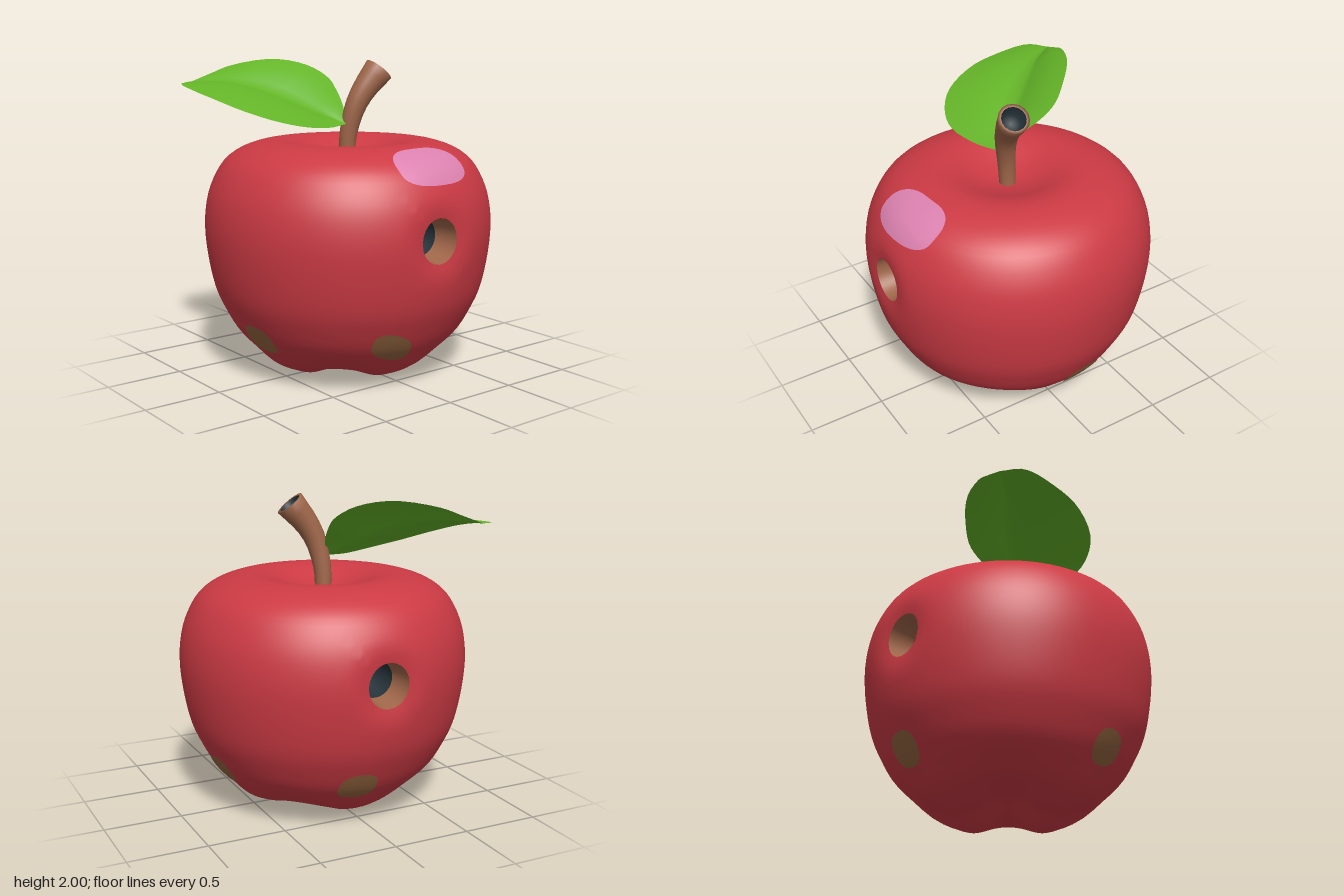
import * as THREE from 'three';
import { mergeVertices } from 'three/addons/utils/BufferGeometryUtils.js';

const V2 = (x, y) => new THREE.Vector2(x, y);
const V3 = (x, y, z) => new THREE.Vector3(x, y, z);
const mat = (name, color, side = THREE.FrontSide) => {
  const m = new THREE.MeshStandardMaterial({ color, side });
  m.name = name;
  return m;
};

// Grid surface from f(i, j); skip(i, j) leaves cells open
function sheet(nu, nv, f, skip = () => false) {
  const pos = [], idx = [];
  for (let j = 0; j <= nv; j++)
    for (let i = 0; i <= nu; i++) pos.push(...f(i, j).toArray());
  for (let j = 0; j < nv; j++)
    for (let i = 0; i < nu; i++) {
      if (skip(i, j)) continue;
      const a = j * (nu + 1) + i, b = a + 1, c = a + nu + 1, d = c + 1;
      idx.push(a, b, d, a, d, c);
    }
  const g = new THREE.BufferGeometry();
  g.setAttribute('position', new THREE.Float32BufferAttribute(pos, 3));
  g.setIndex(idx);
  const merged = mergeVertices(g);
  merged.computeVertexNormals();
  return merged;
}

// Apple outline (radius, height) from bottom dimple to top dip
const profile = new THREE.SplineCurve([
  [0, 0.17], [0.08, 0.15], [0.18, 0.07], [0.27, 0.015], [0.34, 0], [0.43, 0.03], [0.55, 0.09],
  [0.64, 0.18], [0.73, 0.28], [0.8, 0.4], [0.867, 0.55], [0.91, 0.75], [0.928, 0.95],
  [0.912, 1.12], [0.87, 1.25], [0.8, 1.365], [0.7, 1.44], [0.57, 1.485], [0.45, 1.497],
  [0.34, 1.475], [0.2, 1.42], [0.07, 1.385], [0, 1.38],
].map(([r, y]) => V2(r, y)));
profile.arcLengthDivisions = 800;

const HOLE_Y = 0.965, HOLE_R = 0.14, WAIST = 0.92;

// Profile position of a height on the outer side
function sOfY(y) {
  let lo = 0.15, hi = 0.83;
  for (let k = 0; k < 24; k++) {
    const m = (lo + hi) / 2;
    if (profile.getPointAt(m).y < y) lo = m; else hi = m;
  }
  return (lo + hi) / 2;
}

// Skin point: four lobes underneath, shallow dishes around the two holes
function skin(theta, s, offset = 0) {
  const p = profile.getPointAt(s), t = profile.getTangentAt(s);
  let r = p.x + t.y * offset, y = p.y - t.x * offset;
  if (p.y < 0.4) {
    const w = (1 - p.y / 0.4) ** 2 * Math.min(1, p.x / 0.25);
    y += 0.07 * w * (0.5 - 0.5 * Math.cos(4 * theta));
  }
  for (const h of [0, Math.PI]) {
    const turn = Math.atan2(Math.sin(theta - h), Math.cos(theta - h));
    const d = Math.hypot(turn * WAIST, p.y - HOLE_Y);
    if (d < 0.3) r -= 0.1 * (1 - d / 0.3) ** 2;
  }
  return V3(r * Math.sin(theta), y, r * Math.cos(theta));
}

// Body grid, with square rings of cells rounded into circular holes
function bodyGeometry() {
  const NU = 128, NV = 64, K = 3, OUT = 7, cols = [NU / 4, (3 * NU) / 4];
  const j0 = Math.round(sOfY(HOLE_Y) * NV);
  const angle = i => -Math.PI / 2 + (i / NU) * Math.PI * 2;
  return sheet(NU, NV, (i, j) => {
    for (const c of cols) {
      const di = i - c, dj = j - j0, k = Math.max(Math.abs(di), Math.abs(dj));
      if (k === 0 || k >= OUT) continue;
      const w = k <= K ? 1 : (OUT - k) / (OUT - K);
      const R = (HOLE_R * k) / K / Math.hypot(di, dj);
      const th = THREE.MathUtils.lerp(angle(i), angle(c) + (di * R) / WAIST, w);
      const y = THREE.MathUtils.lerp(profile.getPointAt(j / NV).y, HOLE_Y + dj * R, w);
      return skin(th, sOfY(y));
    }
    return skin(angle(i), j / NV);
  }, (i, j) => cols.some(c => i >= c - K && i < c + K && j >= j0 - K && j < j0 + K));
}

// Thin patch hugging the skin, centred at (lateral, y) as seen from direction theta0
function patchGeometry(theta0, lateral, y0, w, h, power, tilt = 0) {
  const N = 36, rings = 6;
  const pw = v => Math.sign(v) * Math.abs(v) ** (2 / power);
  return sheet(rings, N, (i, j) => {
    const a = (j / N) * Math.PI * 2, k = i / rings;
    const x = pw(Math.cos(a)) * w * k, y = y0 + pw(Math.sin(a)) * h * k + tilt * x;
    const s = sOfY(y);
    return skin(theta0 + Math.asin((lateral + x) / profile.getPointAt(s).x), s, 0.005);
  });
}

// Hole wall rings [radius, z]; null means the edge of the skin
function holeGeometry(rings) {
  const N = 48;
  return sheet(N, rings.length - 1, (i, j) => {
    const a = (i / N) * Math.PI * 2, c = Math.cos(a), s = Math.sin(a);
    if (!rings[j]) return skin((c * 0.142) / WAIST, sOfY(HOLE_Y + s * 0.142), -0.001);
    const [r, z] = rings[j];
    return V3(r * c, HOLE_Y + r * s, z);
  });
}

// Stem sections [position along curve, radius]
const stemCurve = new THREE.CatmullRomCurve3([
  V3(-0.005, 1.34, 0), V3(-0.005, 1.52, 0.008), V3(0.03, 1.7, 0.035), V3(0.085, 1.81, 0.055),
  V3(0.19, 1.94, 0.08),
]);
function stemGeometry(sections) {
  const N = 16;
  return sheet(N, sections.length - 1, (i, j) => {
    const [t, r] = sections[j], a = (i / N) * Math.PI * 2;
    const T = stemCurve.getTangentAt(t);
    const A = V3(0, 0, 1).cross(T).normalize(), B = T.clone().cross(A);
    return stemCurve.getPointAt(t).addScaledVector(A, r * Math.cos(a)).addScaledVector(B, r * Math.sin(a));
  });
}

// Leaf spanned between its two edges and a creased midrib
function leafGeometry() {
  const curve = pts => new THREE.CatmullRomCurve3(pts.map(p => V3(...p)));
  const base = [-0.05, 1.6, 0.045], tip = [-0.7, 1.86, -0.765];
  const front = curve([base, [-0.22, 1.59, 0.105], [-0.44, 1.61, 0.15], [-0.617, 1.65, 0.1],
    [-0.766, 1.71, -0.025], [-0.856, 1.78, -0.25], [-0.866, 1.82, -0.47], [-0.826, 1.85, -0.685], tip]);
  const back = curve([base, [0.01, 1.7, -0.06], [0.06, 1.8, -0.2], [0.065, 1.88, -0.3],
    [-0.02, 1.96, -0.42], [-0.19, 2, -0.57], [-0.44, 1.96, -0.7], [-0.57, 1.91, -0.74], tip]);
  const rib = curve([base, [-0.2, 1.69, -0.13], [-0.34, 1.78, -0.3], [-0.52, 1.855, -0.52], tip]);
  const NU = 28, NV = 12;
  return sheet(NU, NV, (i, j) => {
    const u = i / NU, v = (j / NV) * 2 - 1, k = Math.abs(v);
    const p = rib.getPoint(u).lerp((v < 0 ? back : front).getPoint(u), k);
    p.y += 0.025 * Math.sin(Math.PI * k) * Math.sin(Math.PI * u);
    return p;
  });
}

export function createModel() {
  const red = mat('apple red', 0xcc3a44);
  const pink = mat('highlight pink', 0xdc82b0);
  const olive = mat('spot brown', 0x94653f);
  const bark = mat('bark brown', 0xa0674a, THREE.DoubleSide);
  const dark = mat('hollow dark', 0x26343a, THREE.DoubleSide);
  const green = mat('leaf green', 0x64b428, THREE.DoubleSide);

  const model = new THREE.Group();
  model.name = 'apple';
  const add = (name, geo, material, parent = model) => {
    const m = new THREE.Mesh(geo, material);
    m.name = name;
    parent.add(m);
  };

  add('body', bodyGeometry(), red);
  add('highlight', patchGeometry(0, 0.055, 1.385, 0.265, 0.095, 2.8), pink);

  // Brown spots, one per side: direction, lateral, height, half sizes, tilt
  for (const [th, lat, w, h, tilt] of [
    [0, -0.215, 0.135, 0.09, -0.35], [Math.PI / 2, 0.08, 0.125, 0.09, 0.1],
    [Math.PI, -0.12, 0.12, 0.095, 0], [-Math.PI / 2, 0.08, 0.12, 0.095, 0],
  ]) add('spot', patchGeometry(th, lat, 0.31, w, h, 2.4, tilt), olive);

  // Front and back worm holes
  for (const turn of [0, Math.PI]) {
    const hole = new THREE.Group();
    hole.name = turn ? 'backHole' : 'frontHole';
    hole.rotation.y = turn;
    add('holeRim', holeGeometry([null, [0.13, 0.82], [0.115, 0.72]]), bark, hole);
    add('holeInside', holeGeometry([[0.115, 0.72], [0.105, 0.5], [0, 0.5]]), dark, hole);
    model.add(hole);
  }

  // Hollow flared stem
  const outer = [];
  for (let k = 0; k <= 10; k++) outer.push([k / 10, 0.052 + 0.046 * (k / 10) ** 1.8]);
  add('stem', stemGeometry([...outer, [1, 0.078]]), bark);
  add('stemInside', stemGeometry([[1, 0.078], [0.88, 0.06], [0.88, 0]]), dark);

  add('leaf', leafGeometry(), green);
  return model;
}
